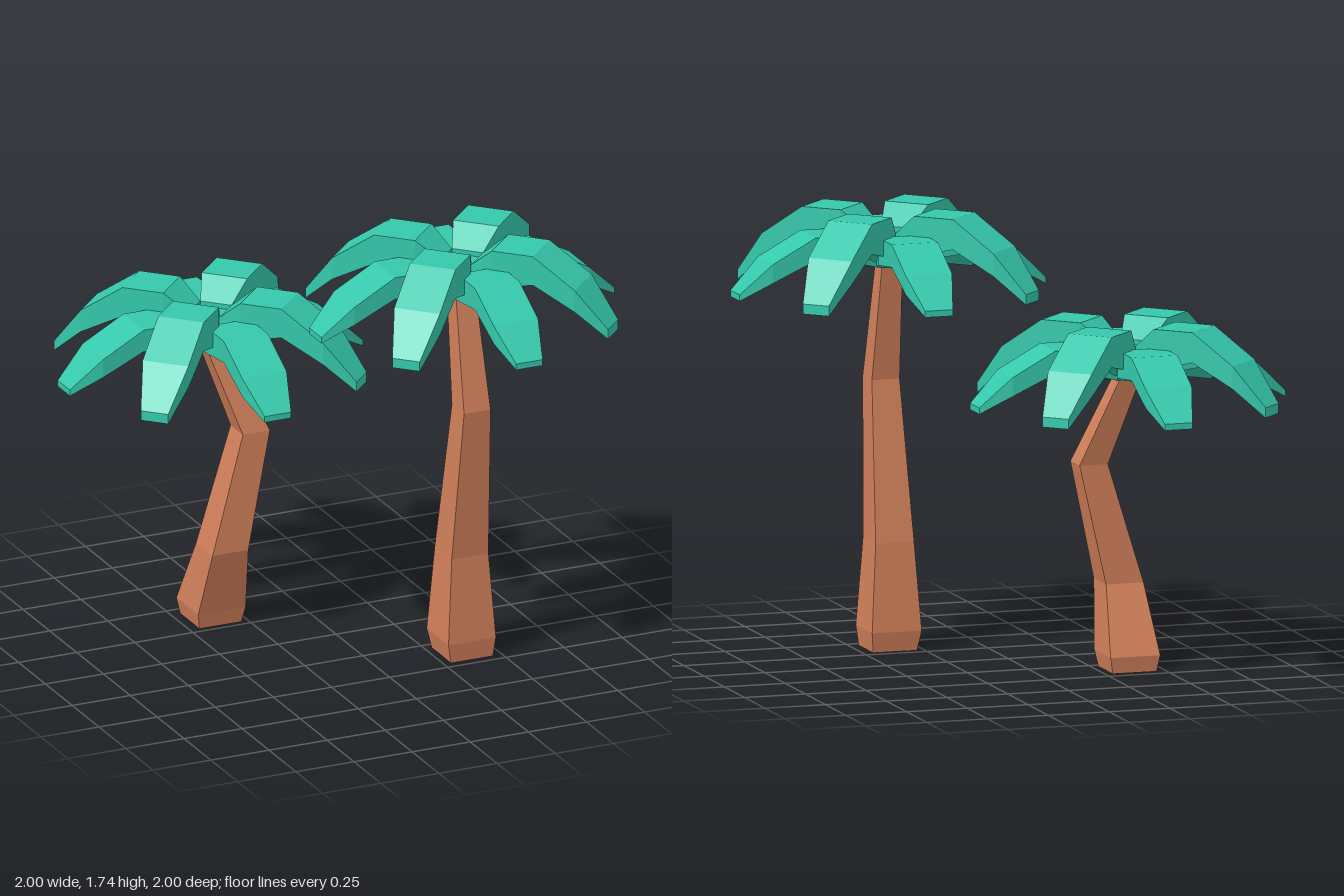
import * as THREE from 'three';

const leafMat = new THREE.MeshStandardMaterial({ color: 0x35c8ac, flatShading: true });
const barkMat = new THREE.MeshStandardMaterial({ color: 0xd07f5a, flatShading: true });

// Skin a row of four-cornered rings and cap both ends
function loft(rings) {
  const pos = [];
  const quad = (a, b, c, d) => pos.push(...a, ...b, ...c, ...a, ...c, ...d);
  for (let k = 0; k < rings.length - 1; k++) {
    const lo = rings[k], hi = rings[k + 1];
    for (let i = 0; i < 4; i++) {
      const j = (i + 1) % 4;
      quad(lo[i], lo[j], hi[j], hi[i]);
    }
  }
  const s = rings[0], e = rings[rings.length - 1];
  quad(s[3], s[2], s[1], s[0]);
  quad(e[0], e[1], e[2], e[3]);
  const g = new THREE.BufferGeometry();
  g.setAttribute('position', new THREE.Float32BufferAttribute(pos, 3));
  g.computeVertexNormals();
  return g;
}

// Square trunk from rows of [y, centre x, centre z, half width]
function trunkGeometry(rows) {
  return loft(rows.map(([y, x, z, h]) => [
    [x + h, y, z + h], [x + h, y, z - h], [x - h, y, z - h], [x - h, y, z + h],
  ]));
}

// Frond along +x from rows of [radius, top, bottom, half width]
function frondGeometry(rows) {
  return loft(rows.map(([r, t, b, w]) => [[r, b, -w], [r, t, -w], [r, t, w], [r, b, w]]));
}

const lowFrond = frondGeometry([
  [0.05, 0.18, 0.10, 0.065], [0.16, 0.24, 0.13, 0.095], [0.33, 0.24, 0.15, 0.095],
  [0.505, 0.145, 0.07, 0.095], [0.63, 0.025, 0, 0.057],
]);
const highFrond = frondGeometry([
  [0.065, 0.24, 0.10, 0.065], [0.16, 0.32, 0.16, 0.095], [0.33, 0.32, 0.20, 0.095],
  [0.505, 0.2, 0.11, 0.095], [0.63, 0.04, 0, 0.057],
]);

function palm(name, x, z, crownY, trunkRows) {
  const tree = new THREE.Group();
  tree.name = name;
  const trunk = new THREE.Mesh(trunkGeometry(trunkRows), barkMat);
  trunk.name = 'trunk';
  tree.add(trunk);

  // Crown: low fronds on the axes, high fronds between them
  const crown = new THREE.Group();
  crown.name = 'crown';
  crown.position.set(x, crownY, z);
  for (let i = 0; i < 8; i++) {
    const frond = new THREE.Mesh(i % 2 ? highFrond : lowFrond, leafMat);
    frond.name = i % 2 ? 'highFrond' : 'lowFrond';
    frond.rotation.y = (i * Math.PI) / 4;
    crown.add(frond);
  }
  const heart = new THREE.Mesh(new THREE.BoxGeometry(0.13, 0.12, 0.13), leafMat);
  heart.name = 'crownHeart';
  heart.position.y = 0.16;
  heart.rotation.y = Math.PI / 4;
  crown.add(heart);
  tree.add(crown);
  return tree;
}

export function createModel() {
  const model = new THREE.Group();
  model.name = 'palmTrees';
  model.add(
    palm('tallPalm', 0.37, 0.37, 1.42, [
      [0, 0.37, 0.375, 0.09], [0.08, 0.367, 0.372, 0.102], [0.43, 0.367, 0.375, 0.079],
      [1.06, 0.369, 0.46, 0.057], [1.54, 0.367, 0.367, 0.042],
    ]),
    palm('shortPalm', -0.37, -0.37, 1.055, [
      [0, -0.37, -0.365, 0.09], [0.065, -0.37, -0.363, 0.102], [0.335, -0.367, -0.265, 0.077],
      [0.81, -0.243, -0.273, 0.058], [1.17, -0.372, -0.367, 0.042],
    ]),
  );
  return model;
}
